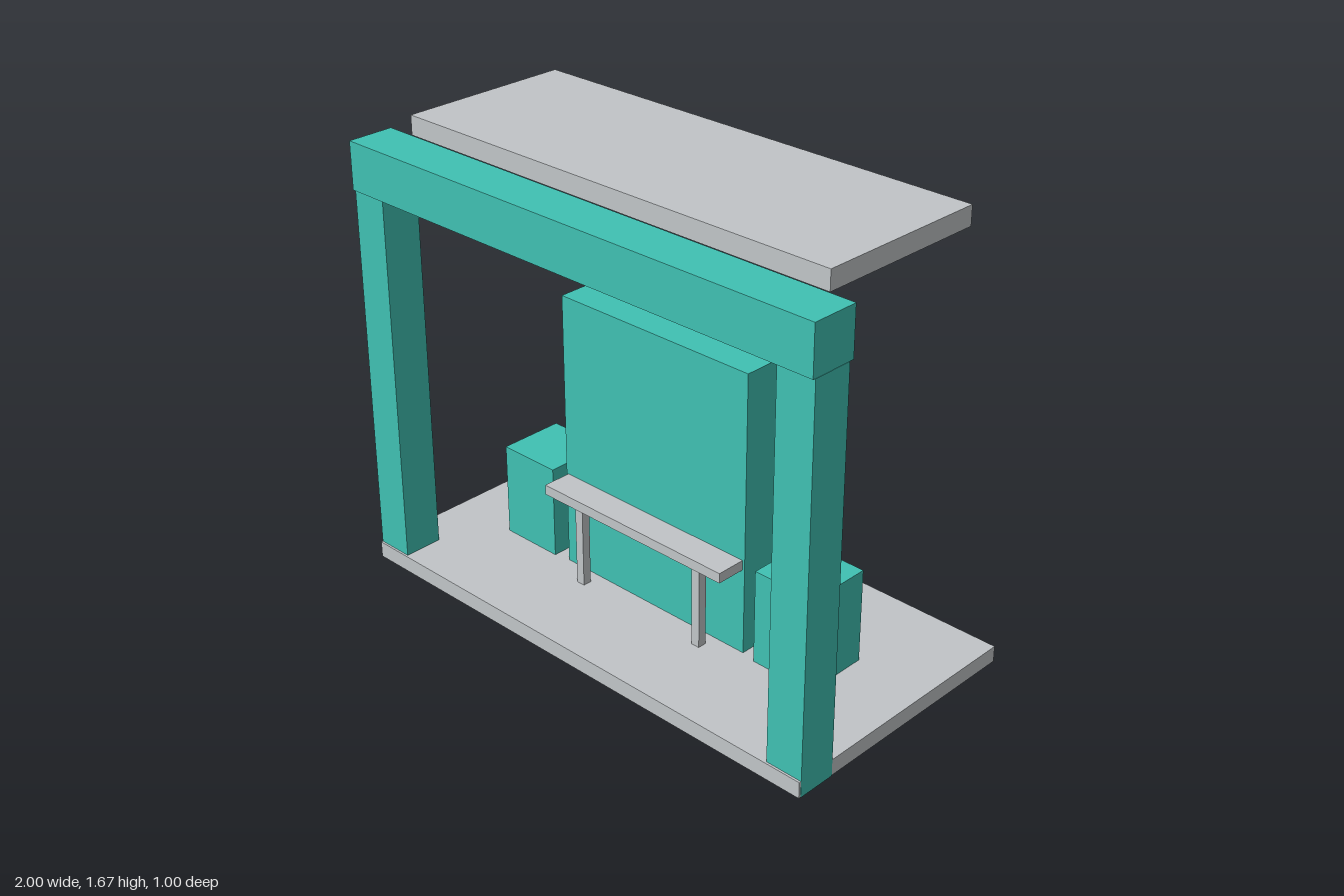
import * as THREE from 'three';

export function createModel() {
  const model = new THREE.Group();
  const teal = new THREE.MeshStandardMaterial({ color: 0x40c1b3 });
  teal.name = 'teal paint';
  const grey = new THREE.MeshStandardMaterial({ color: 0xc1c5c8 });
  grey.name = 'light grey';

  // Box given by its [min, max] extent on each axis
  function block(name, material, [x0, x1], [y0, y1], [z0, z1], parent = model) {
    const mesh = new THREE.Mesh(new THREE.BoxGeometry(x1 - x0, y1 - y0, z1 - z0), material);
    mesh.position.set((x0 + x1) / 2, (y0 + y1) / 2, (z0 + z1) / 2);
    mesh.name = name;
    parent.add(mesh);
    return mesh;
  }

  // Ground slab and floating roof slab
  block('base', grey, [-1, 1], [0, 0.06], [-0.5, 0.5]);
  block('roof', grey, [-0.9, 0.9], [1.6, 1.67], [-0.33, 0.32]);

  // Front gateway: two posts set through the base, and a beam
  block('leftPost', teal, [0.86, 1.001], [-0.001, 1.43], [0.345, 0.492]);
  block('rightPost', teal, [-1.001, -0.86], [-0.001, 1.43], [0.345, 0.492]);
  block('beam', teal, [-1, 1], [1.43, 1.603], [0.328, 0.502]);

  // Central panel with a planter box on either side
  block('centrePanel', teal, [-0.42, 0.418], [0.06, 1.1], [-0.115, 0.11]);
  block('leftPlanter', teal, [0.475, 0.722], [0.06, 0.41], [-0.125, 0.122]);
  block('rightPlanter', teal, [-0.725, -0.48], [0.06, 0.41], [-0.125, 0.122]);

  // A bench along the front and the back of the panel
  const benches = [
    ['frontBench', [0.11, 0.22], [0.157, 0.19]],
    ['backBench', [-0.226, -0.115], [-0.196, -0.16]],
  ];
  for (const [name, seatZ, legZ] of benches) {
    const bench = new THREE.Group();
    bench.name = name;
    block('seat', grey, [-0.412, 0.408], [0.38, 0.417], seatZ, bench);
    block('leftLeg', grey, [0.257, 0.291], [0.06, 0.38], legZ, bench);
    block('rightLeg', grey, [-0.295, -0.261], [0.06, 0.38], legZ, bench);
    model.add(bench);
  }

  return model;
}
